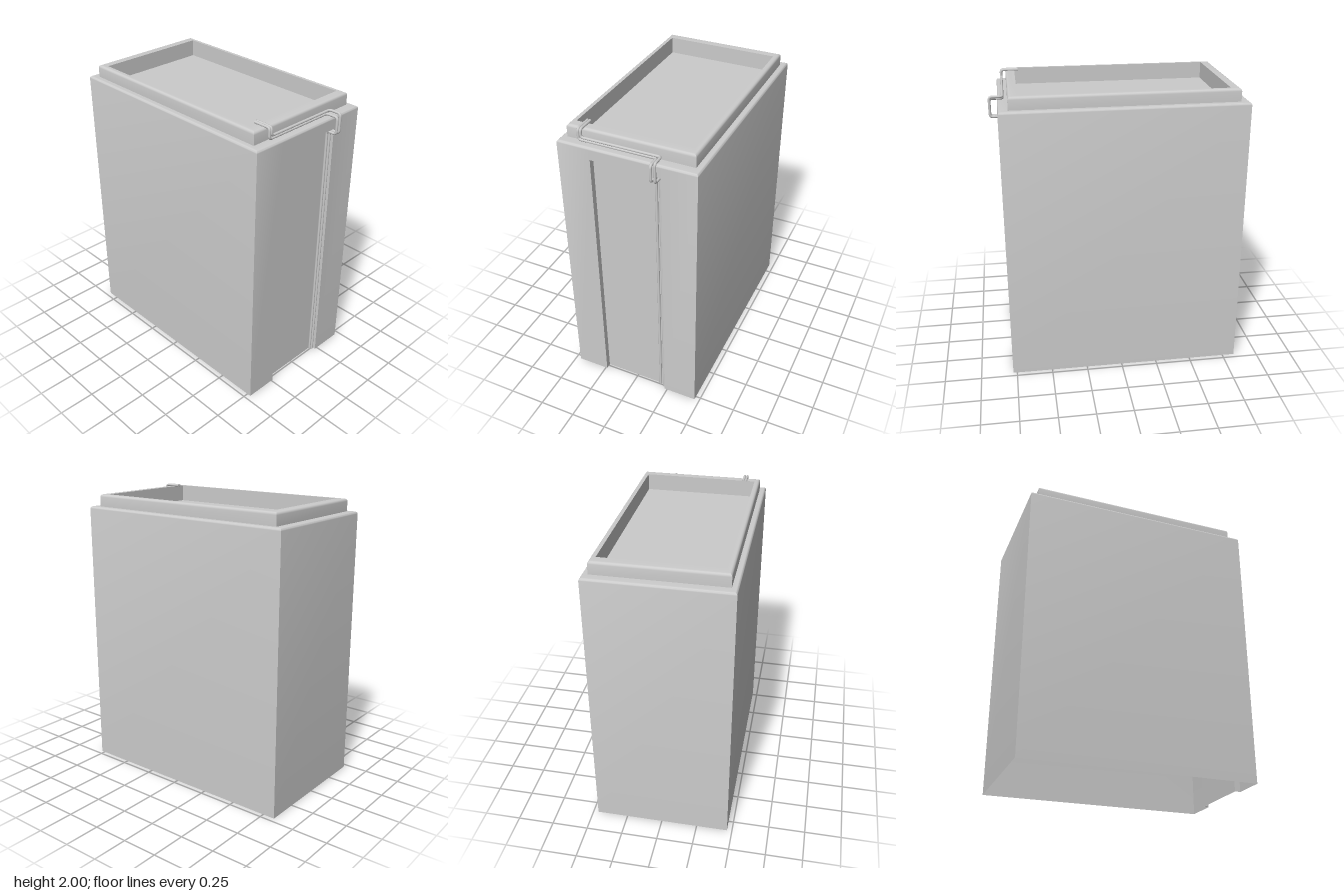
import * as THREE from 'three';
import { toCreasedNormals } from 'three/addons/utils/BufferGeometryUtils.js';

const material = new THREE.MeshStandardMaterial({ color: 0xcccccc, side: THREE.DoubleSide });

// Mesh from a list of quads, each with corners counter-clockwise from its front
function quadMesh(name, quads) {
  const positions = quads.flatMap(([a, b, c, d]) => [a, b, c, a, c, d].flat());
  const geometry = new THREE.BufferGeometry();
  geometry.setAttribute('position', new THREE.Float32BufferAttribute(positions, 3));
  const mesh = new THREE.Mesh(toCreasedNormals(geometry, 0.6), material);
  mesh.name = name;
  return mesh;
}

// Rectangular ring of corners at one height, starting at the front
const ring = (x, back, front, y) => [[-x, y, front], [x, y, front], [x, y, back], [-x, y, back]];

// Rings that round over a top edge inwards
function roundedTop(x, back, front, top, r, steps = 4) {
  return Array.from({ length: steps + 1 }, (_, i) => {
    const a = (i / steps) * Math.PI / 2;
    const inset = r * (1 - Math.cos(a));
    return ring(x - inset, back + inset, front - inset, top - r * (1 - Math.sin(a)));
  });
}

// Quads joining successive rings
function loft(rings) {
  const quads = [];
  for (let k = 0; k < rings.length - 1; k++) {
    for (let i = 0; i < 4; i++) {
      const j = (i + 1) % 4;
      quads.push([rings[k][i], rings[k][j], rings[k + 1][j], rings[k + 1][i]]);
    }
  }
  return quads;
}

// Upright or level rectangle facing the front
const frontQuad = (x0, x1, y0, y1, z) => [[x0, y0, z], [x1, y0, z], [x1, y1, z], [x0, y1, z]];

// Round rod along straight runs with small bends at the corners
function rod(name, corners, radius, bend) {
  const v = corners.map((c) => new THREE.Vector3(...c));
  const points = [v[0]];
  for (let i = 1; i < v.length - 1; i++) {
    const start = v[i].clone().add(v[i - 1].clone().sub(v[i]).setLength(bend));
    const end = v[i].clone().add(v[i + 1].clone().sub(v[i]).setLength(bend));
    points.push(...new THREE.QuadraticBezierCurve3(start, v[i], end).getPoints(5));
  }
  points.push(v[v.length - 1]);

  const path = new THREE.Curve();
  path.getPoint = (t) => {
    const s = t * (points.length - 1);
    const i = Math.min(Math.floor(s), points.length - 2);
    return points[i].clone().lerp(points[i + 1], s - i);
  };
  path.getPointAt = path.getPoint;
  path.getTangentAt = (t) => path.getTangent(t);

  const group = new THREE.Group();
  group.name = name;
  group.add(new THREE.Mesh(new THREE.TubeGeometry(path, points.length - 1, radius, 10), material));
  // End caps
  for (const [end, next] of [[v[0], v[1]], [v[v.length - 1], v[v.length - 2]]]) {
    const cap = new THREE.Mesh(new THREE.CircleGeometry(radius, 10), material);
    cap.position.copy(end);
    cap.lookAt(end.clone().multiplyScalar(2).sub(next));
    group.add(cap);
  }
  return group;
}

export function createModel() {
  const model = new THREE.Group();
  const X = 0.465, BACK = -0.835, FRONT = 0.777, TOP = 1.9, R = 0.016;
  const lid = { x: 0.425, back: -0.775, front: 0.712, top: 1.985 };
  const notch = { left: -0.24, right: 0.23, top: 1.815, z: 0.737 };

  // Hollow body, open underneath; the front wall is cut around the notch
  const shell = loft([
    ring(X, BACK, FRONT, 0),
    ...roundedTop(X, BACK, FRONT, TOP, R),
    ring(lid.x, lid.back, lid.front, TOP),
  ]).slice(1);
  const wallTop = TOP - R;
  model.add(quadMesh('body', [
    ...shell,
    frontQuad(-X, notch.left, 0, wallTop, FRONT),
    frontQuad(notch.right, X, 0, wallTop, FRONT),
    frontQuad(notch.left, notch.right, notch.top, wallTop, FRONT),
  ]));

  // Shallow notch in the front wall
  const { left: l, right: r, top: t, z } = notch;
  model.add(quadMesh('frontNotch', [
    frontQuad(l, r, 0, t, z),
    [[l, 0, FRONT], [l, 0, z], [l, t, z], [l, t, FRONT]],
    [[r, 0, z], [r, 0, FRONT], [r, t, FRONT], [r, t, z]],
    [[l, t, z], [r, t, z], [r, t, FRONT], [l, t, FRONT]],
  ]));

  // Raised rim around a sunken top panel
  const floor = ring(0.39, -0.71, 0.65, 1.87);
  model.add(quadMesh('topRim', [
    ...loft([
      ring(lid.x, lid.back, lid.front, TOP),
      ...roundedTop(lid.x, lid.back, lid.front, lid.top, 0.018),
      ring(0.39, -0.71, 0.65, lid.top),
      floor,
    ]),
  ]));
  model.add(quadMesh('topPanel', [floor]));

  // Two parallel rods: over the rim, along the ledge, then down the notch
  const rods = [
    { name: 'upperRod', x0: -0.311, x1: 0.218, y: 1.937, bottom: 0 },
    { name: 'lowerRod', x0: -0.328, x1: 0.191, y: 1.92, bottom: 0.02 },
  ];
  for (const { name, x0, x1, y, bottom } of rods) {
    model.add(rod(name, [
      [x0, 1.991, 0.625], [x0, 1.991, 0.742], [x0, y, 0.742],
      [x1, y, 0.742], [x1, y, 0.826], [x1, 1.807, 0.826],
      [x1, 1.807, 0.755], [x1, bottom, 0.755],
    ], 0.009, 0.02));
  }
  return model;
}
